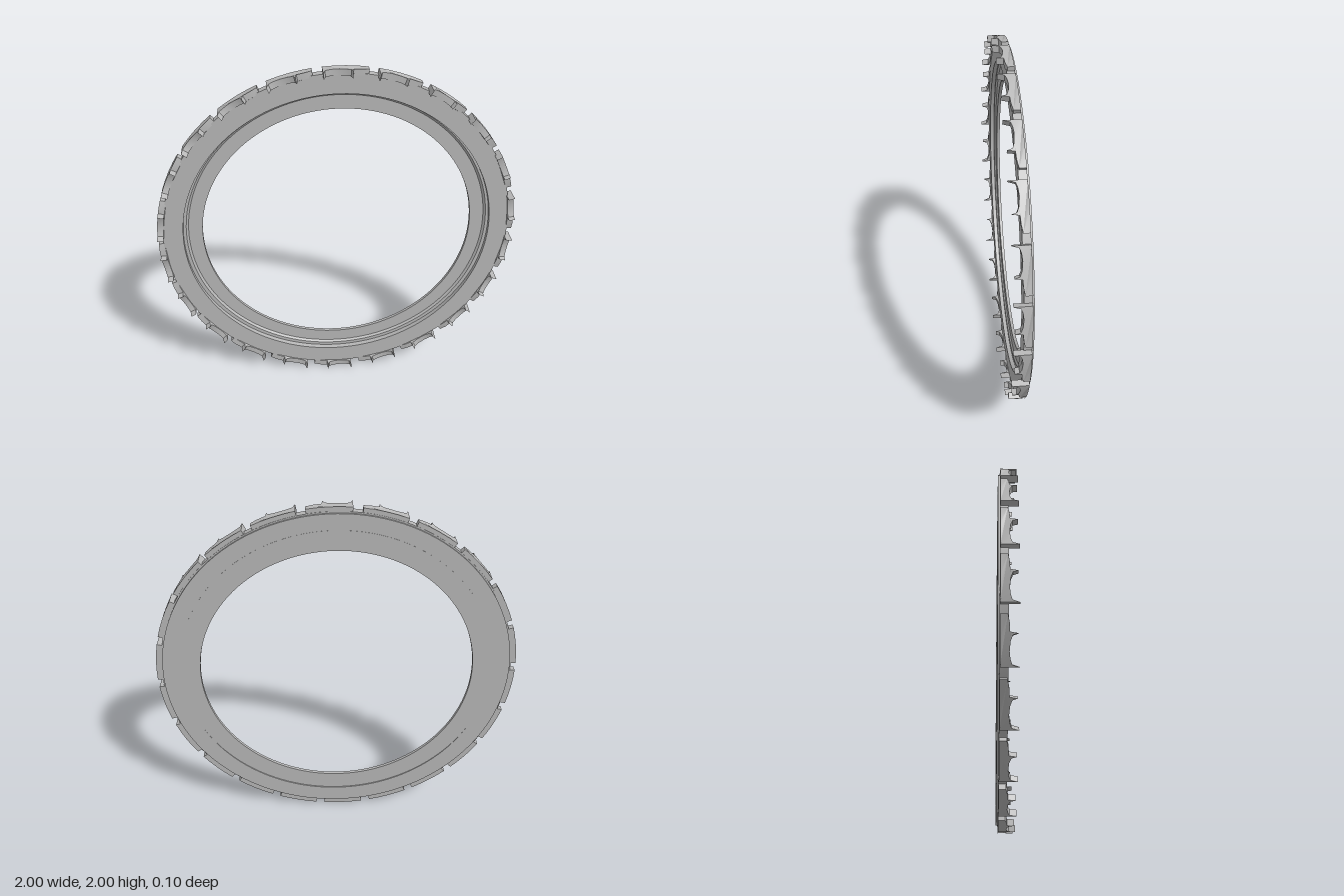
import * as THREE from 'three';
import { toCreasedNormals } from 'three/addons/utils/BufferGeometryUtils.js';

const TEETH = 22;
const TOOTH_START = -0.08; // clockwise angle from the top
const OUTER = 1.0, ROOT = 0.966;

// Closed ring turned around the z axis from [radius, z] points
function ring(profile, name, material, y) {
  const pts = [...profile, profile[0]].map(([r, z]) => new THREE.Vector2(r, z));
  const geo = new THREE.LatheGeometry(pts, 128).rotateX(Math.PI / 2);
  const mesh = new THREE.Mesh(toCreasedNormals(geo, 0.4), material);
  mesh.name = name;
  mesh.position.y = y;
  return mesh;
}

// Tooth outline as [angle, z], extruded and wrapped around the rim
function toothGeometry() {
  const outline = [
    [0, -0.038], [0.06, -0.038], [0.12, -0.038], [0.18, -0.038], [0.235, -0.038],
    [0.235, -0.004], [0.195, 0.004], [0.156, 0.006],
    [0.15, 0.042], [0.142, 0.018], [0.115, 0.008], [0.07, 0.004], [0.035, 0.008],
    [0.012, 0.016], [0.001, 0.05],
  ];
  const shape = new THREE.Shape(outline.map(([s, z]) => new THREE.Vector2(s, z)));
  const geo = new THREE.ExtrudeGeometry(shape, { depth: OUTER - ROOT, bevelEnabled: false });
  const p = geo.attributes.position;
  for (let i = 0; i < p.count; i++) {
    const angle = TOOTH_START + p.getX(i), r = OUTER - p.getZ(i);
    p.setXYZ(i, r * Math.sin(angle), r * Math.cos(angle), p.getY(i));
  }
  return toCreasedNormals(geo, 0.4);
}

export function createModel() {
  const group = new THREE.Group();
  const metal = new THREE.MeshStandardMaterial({ color: 0xb8b8b8 });
  metal.name = 'grey metal';

  // Thick outer band with a narrow step at the back edge
  group.add(ring([
    [0.862, -0.049], [0.964, -0.049], [0.964, -0.04], [0.972, -0.04],
    [0.972, 0], [0.862, 0],
  ], 'rim', metal, 1.004));

  // Thin recessed inner flange with a small raised shoulder
  group.add(ring([
    [0.756, -0.05], [0.866, -0.05], [0.866, -0.022], [0.845, -0.022],
    [0.833, -0.032], [0.756, -0.032],
  ], 'innerFlange', metal, 1.015));

  // Horned teeth around the rim
  const teeth = new THREE.Group();
  teeth.name = 'teeth';
  teeth.position.y = 1;
  const geo = toothGeometry();
  for (let i = 0; i < TEETH; i++) {
    const tooth = new THREE.Mesh(geo, metal);
    tooth.name = 'tooth';
    tooth.rotation.z = -i * 2 * Math.PI / TEETH;
    teeth.add(tooth);
  }
  group.add(teeth);
  return group;
}
